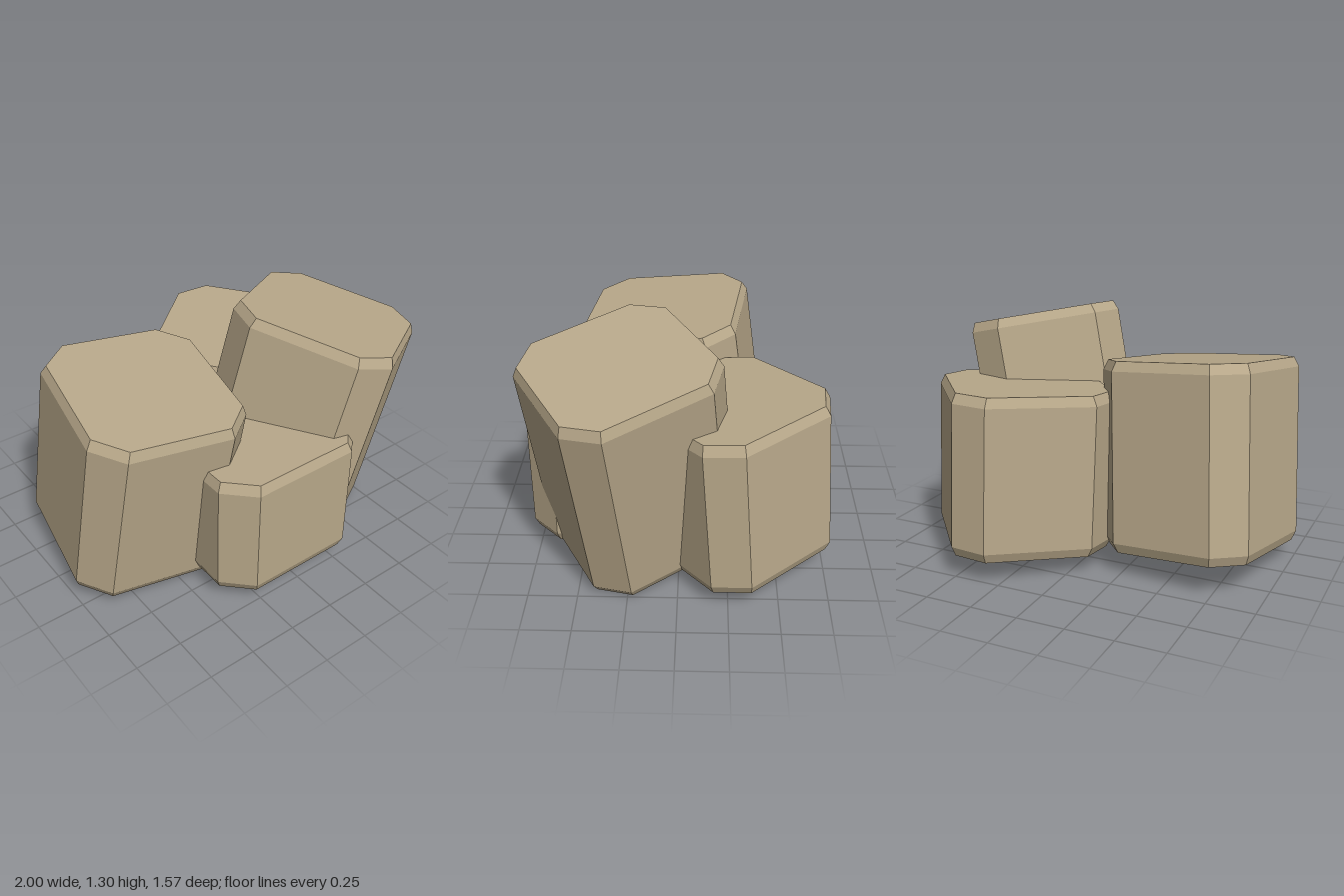
import * as THREE from 'three';
import { ConvexGeometry } from 'three/addons/geometries/ConvexGeometry.js';

const CHAMFER = 0.14; // cut of the upright corners
const BEVEL = 0.05; // height of the top and bottom bevels
const INSET = 0.95; // scale of the cap faces

// Eight-sided block with bevelled caps; its top face lies on y = 0
function blockGeometry(w, h, d) {
  const x = w / 2, z = d / 2, c = CHAMFER;
  const levels = [[0, INSET], [-BEVEL, 1], [BEVEL - h, 1], [-h, INSET]];
  const points = [];
  for (const [y, s] of levels) {
    for (const sx of [-1, 1]) {
      for (const sz of [-1, 1]) {
        points.push(new THREE.Vector3(sx * x * s, y, sz * (z - c) * s));
        points.push(new THREE.Vector3(sx * (x - c) * s, y, sz * z * s));
      }
    }
  }
  return new ConvexGeometry(points);
}

// top: centre of the top face, axis: direction the block leans, yaw in degrees
const BLOCKS = [
  { name: 'frontStone', size: [0.86, 0.675, 0.8], top: [-0.01, 0.775, 0.38], axis: [0, 1, 0], yaw: 0 },
  { name: 'rightStone', size: [0.82, 0.97, 0.875], top: [-0.488, 1.066, 0.113], axis: [0.076, 1, 0.139], yaw: -9 },
  { name: 'leftTallStone', size: [0.8, 1.115, 0.84], top: [0.53, 1.204, 0.285], axis: [0.222, 1, 0.085], yaw: 30 },
  { name: 'backStone', size: [0.83, 0.835, 0.82], top: [0.345, 0.933, -0.25], axis: [-0.01, 1, 0.068], yaw: 40 },
];

export function createModel() {
  const group = new THREE.Group();
  group.name = 'rockCluster';
  const material = new THREE.MeshStandardMaterial({ color: 0xb8a88a, flatShading: true });

  for (const { name, size, top, axis, yaw } of BLOCKS) {
    const mesh = new THREE.Mesh(blockGeometry(...size), material);
    mesh.name = name;
    // Orient by the leaning axis and the heading of the sides
    const a = THREE.MathUtils.degToRad(yaw);
    const up = new THREE.Vector3(...axis).normalize();
    const side = new THREE.Vector3(Math.cos(a), 0, -Math.sin(a));
    side.addScaledVector(up, -side.dot(up)).normalize();
    const front = new THREE.Vector3().crossVectors(side, up);
    mesh.quaternion.setFromRotationMatrix(new THREE.Matrix4().makeBasis(side, up, front));
    mesh.position.set(...top);
    group.add(mesh);
  }
  return group;
}
